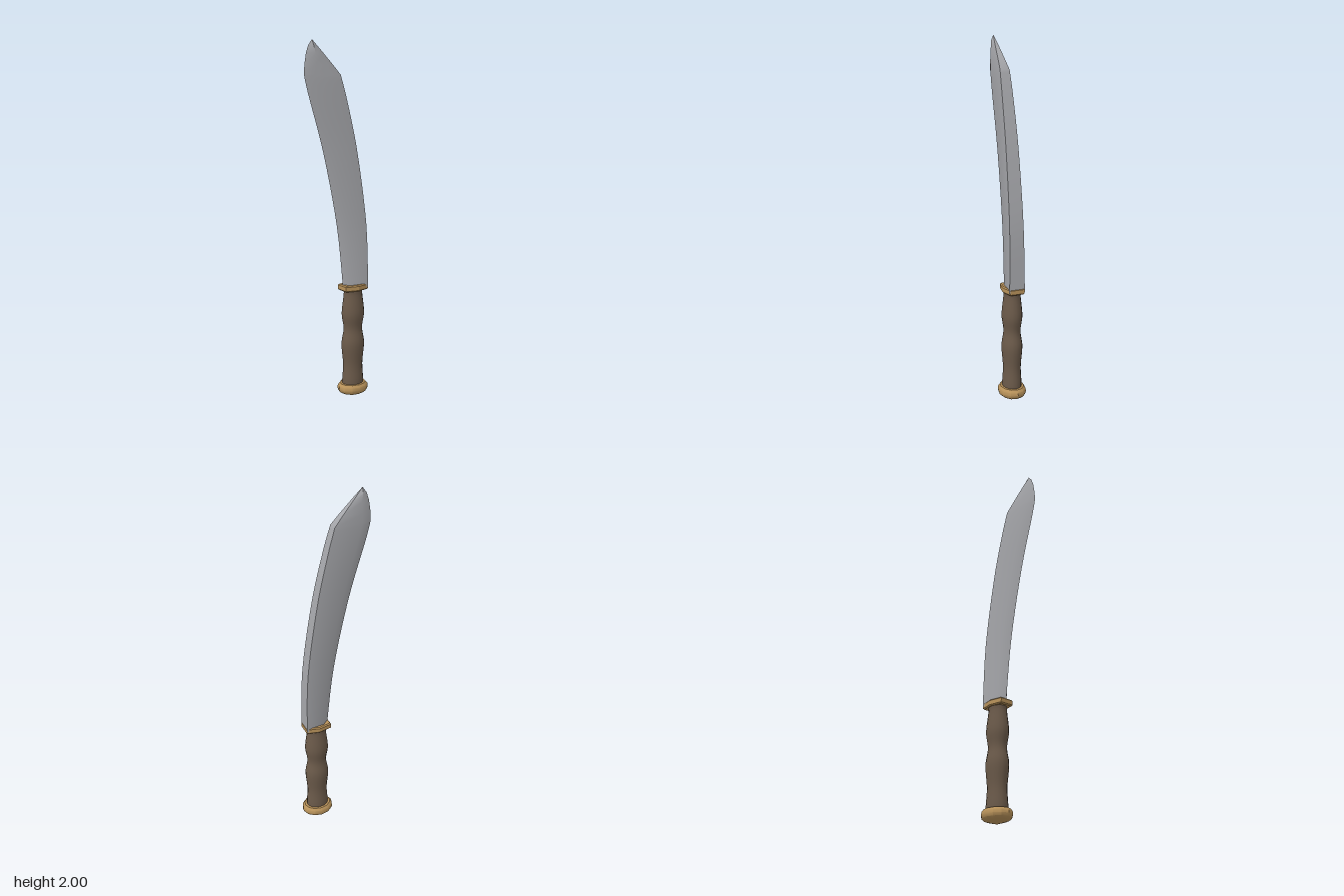
import * as THREE from 'three';
import { toCreasedNormals } from 'three/addons/utils/BufferGeometryUtils.js';

const AXIS = 0.11; // x of the handle's centre line

function part(name, geometry, color, crease) {
  const material = new THREE.MeshStandardMaterial({ color });
  const mesh = new THREE.Mesh(toCreasedNormals(geometry, crease), material);
  mesh.name = name;
  return mesh;
}

const curve = (pts) => new THREE.SplineCurve(pts.map(([x, y]) => new THREE.Vector2(x, y)));

// Blade: five-sided sections with a thick spine, a shoulder and a sharp edge
function bladeGeometry() {
  const edge = curve([[0.042, 0.64], [0, 1.0], [-0.085, 1.4], [-0.18, 1.72], [-0.205, 1.82]]);
  const spine = curve([[0.183, 0.64], [0.171, 1.0], [0.112, 1.4], [0.05, 1.67], [0.007, 1.82]]);
  const rings = [];
  const addRing = (e, s, spineHalf, shoulderHalf, k = 0.27) => {
    const mx = e.x + (s.x - e.x) * k, my = e.y + (s.y - e.y) * k;
    rings.push([
      [s.x, s.y, spineHalf], [mx, my, shoulderHalf], [e.x, e.y, 0],
      [mx, my, -shoulderHalf], [s.x, s.y, -spineHalf],
    ]);
  };
  const steps = 20;
  for (let i = 0; i <= steps; i++) {
    const t = i / steps;
    const half = 0.045 - 0.018 * t;
    addRing(edge.getPoint(t), spine.getPoint(t), half, half * 0.78);
  }
  // Clipped point: the back face narrows to nothing at the tip
  const v = (x, y) => new THREE.Vector2(x, y);
  addRing(v(-0.202, 1.87), v(-0.036, 1.87), 0.02, 0.021, 0.32);
  addRing(v(-0.192, 1.93), v(-0.091, 1.93), 0.012, 0.02, 0.48);
  addRing(v(-0.178, 1.97), v(-0.128, 1.97), 0.006, 0.014, 0.5);
  addRing(v(-0.155, 2.0), v(-0.155, 2.0), 0, 0);

  const pos = [];
  for (let i = 0; i < rings.length - 1; i++) {
    for (let j = 0; j < 5; j++) {
      const k = (j + 1) % 5;
      const a = rings[i][k], b = rings[i][j], c = rings[i + 1][j], d = rings[i + 1][k];
      pos.push(...a, ...b, ...c);
      if (i < rings.length - 2) pos.push(...a, ...c, ...d);
    }
  }
  const g = new THREE.BufferGeometry();
  g.setAttribute('position', new THREE.Float32BufferAttribute(pos, 3));
  return g;
}

// Turned part with an oval section
function turned(profile, sides, depth) {
  const g = new THREE.LatheGeometry(profile, sides, Math.PI / 2);
  g.scale(1, 1, depth);
  g.translate(AXIS, 0, 0);
  return g;
}

// Guard: bevelled six-sided plate
function guardGeometry() {
  const shape = new THREE.Shape([
    [0.069, -0.036], [0.069, 0.036], [0, 0.051],
    [-0.069, 0.036], [-0.069, -0.036], [0, -0.051],
  ].map(([x, y]) => new THREE.Vector2(x, y)));
  const g = new THREE.ExtrudeGeometry(shape, {
    depth: 0.023, bevelEnabled: true, bevelSize: 0.006, bevelThickness: 0.006, bevelSegments: 1,
  });
  g.rotateX(-Math.PI / 2);
  g.translate(AXIS, 0.631, 0);
  return g;
}

export function createModel() {
  const model = new THREE.Group();
  model.name = 'machete';

  // Grip with finger swells
  const gripProfile = curve([
    [0.064, 0.065], [0.064, 0.1], [0.059, 0.19], [0.069, 0.31],
    [0.056, 0.4], [0.068, 0.49], [0.056, 0.6], [0.058, 0.63],
  ]).getPoints(36);

  // Pommel cap with a shallow pointed base
  const pommelProfile = [
    [0, 0], [0.072, 0.018], [0.088, 0.03], [0.093, 0.045], [0.09, 0.062], [0.078, 0.075], [0, 0.078],
  ].map(([x, y]) => new THREE.Vector2(x, y));

  model.add(
    part('blade', bladeGeometry(), 0xa6a7ab, 0.7),
    part('guard', guardGeometry(), 0xb8925a, 0.3),
    part('grip', turned(gripProfile, 16, 0.82), 0x6b5a4a, 0.8),
    part('pommel', turned(pommelProfile, 12, 0.83), 0xb8925a, 0.6),
  );
  return model;
}
